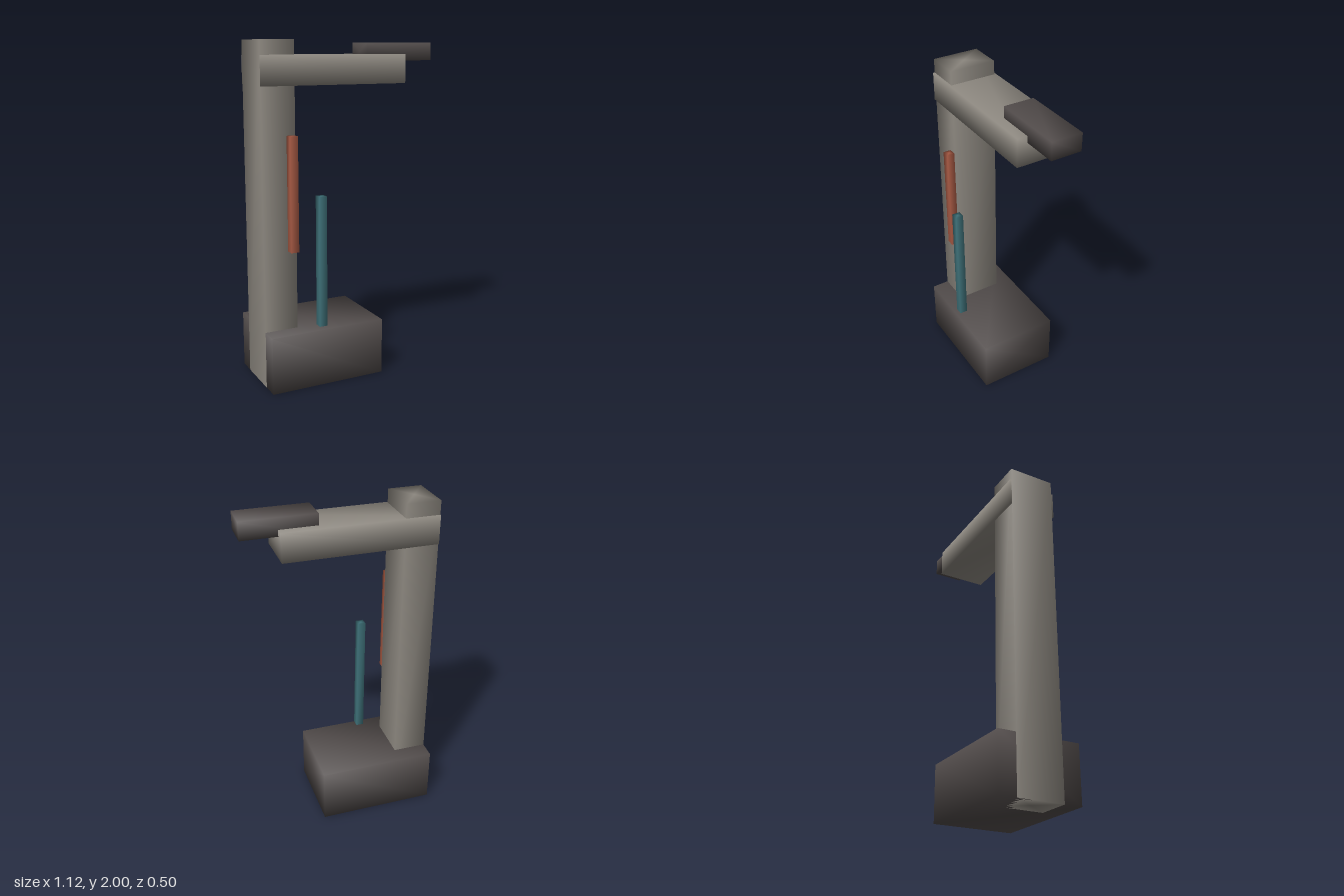
import * as THREE from 'three';
import { mergeVertices } from 'three/addons/utils/BufferGeometryUtils.js';

const material = (color) => new THREE.MeshStandardMaterial({ color });

// Four-sided smooth-shaded bar filling the given ranges, running along x or y
function bar(name, mat, axis, [x0, x1], [y0, y1], [z0, z1]) {
  let g = new THREE.CylinderGeometry(Math.SQRT1_2, Math.SQRT1_2, 1, 4, 1, false, Math.PI / 4);
  if (axis === 'x') g.rotateZ(-Math.PI / 2);
  g.scale(x1 - x0, y1 - y0, z1 - z0);
  g.translate((x0 + x1) / 2, (y0 + y1) / 2, (z0 + z1) / 2);
  // Share corners between sides and caps so the shading flows over the edges
  g.deleteAttribute('normal');
  g.deleteAttribute('uv');
  g = mergeVertices(g, 1e-4);
  g.computeVertexNormals();
  const mesh = new THREE.Mesh(g, mat);
  mesh.name = name;
  return mesh;
}

export function createModel() {
  const model = new THREE.Group();
  model.name = 'columnWithArm';
  const stone = material(0x8d8880);
  const dark = material(0x514b4a);

  model.add(
    // Heavy foot, and a column running through it, just proud of its back end
    bar('base', dark, 'x', [-0.56, 0.153], [0, 0.34], [-0.248, 0.248]),
    bar('column', stone, 'y', [-0.561, -0.358], [0, 2], [-0.14, 0.14]),
    // Cantilevered arm with a dark tip lying on its end
    bar('arm', stone, 'x', [-0.56, 0.348], [1.75, 1.918], [-0.151, 0.151]),
    bar('armTip', dark, 'x', [0.123, 0.56], [1.88, 1.985], [-0.091, 0.091]),
    // Coloured upright strips in front of the column
    bar('redStrip', material(0xa85a44), 'y', [-0.411, -0.362], [0.81, 1.476], [0.139, 0.187]),
    bar('tealStrip', material(0x3f727a), 'y', [-0.254, -0.206], [0.355, 1.13], [0.181, 0.23]),
  );
  return model;
}
